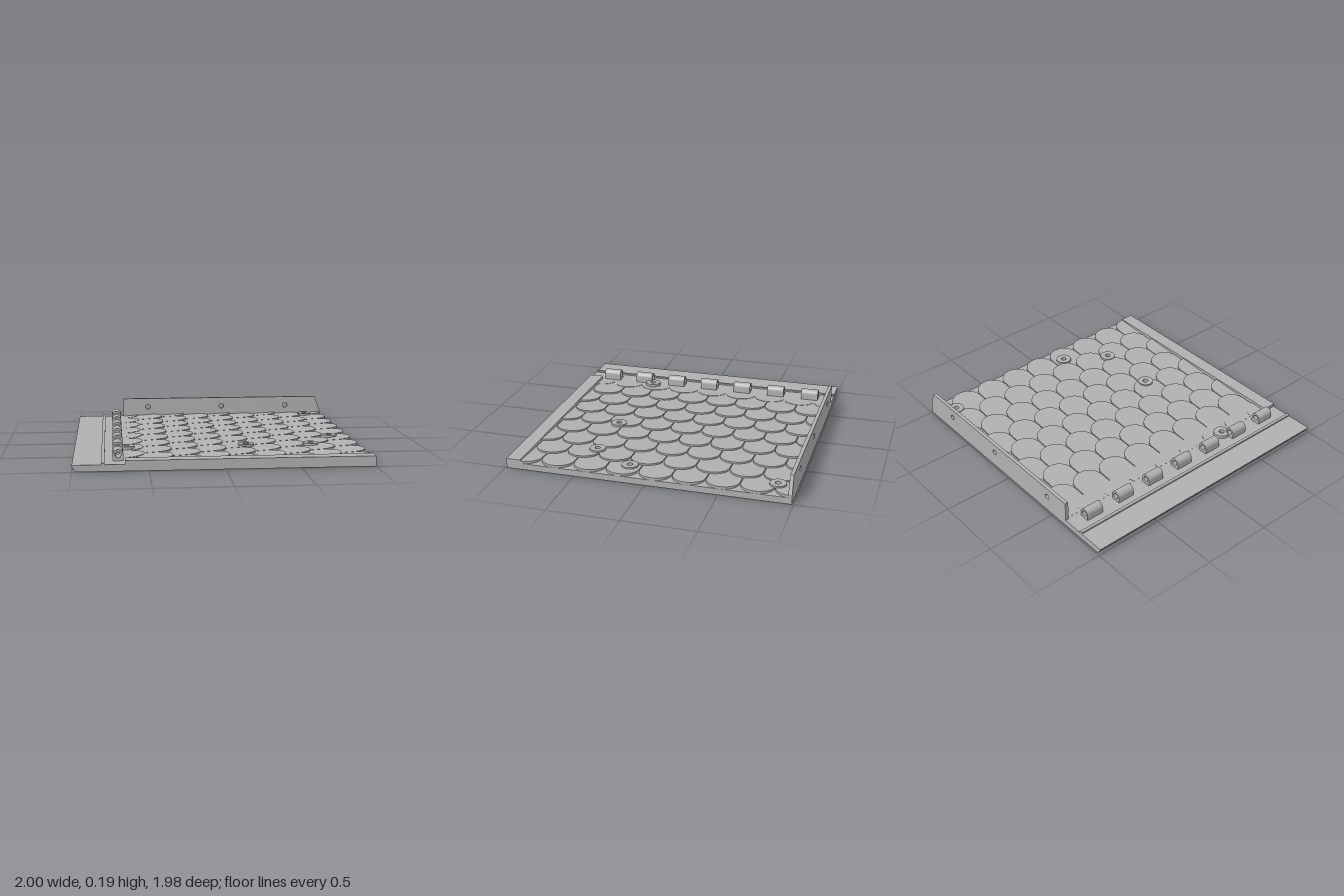
import * as THREE from 'three';

const HOLE = 0.02;
// Screw holes through the plate: [x, z]
const SCREWS = [[0.85, -0.87], [0.85, 0.15], [0.66, 0.45], [0.2, 0.45], [-0.64, 0.45]];
const BACK = -0.965, FRONT = 0.89, TOP = 0.045;

const grey = new THREE.MeshStandardMaterial({ color: 0xb0b0b0 });
grey.name = 'grey';

function circle(x, y, r) {
  return new THREE.Path().absarc(x, y, r, 0, Math.PI * 2, true);
}

function polygon(points) {
  return new THREE.Shape(points.map(([x, y]) => new THREE.Vector2(x, y)));
}

function extrude(shape, depth) {
  return new THREE.ExtrudeGeometry(shape, { depth, bevelEnabled: false, curveSegments: 16 });
}

// Extrudes an (x, -z) outline upwards
function extrudeUp(shape, height) {
  return extrude(shape, height).rotateX(-Math.PI / 2);
}

// A tongue-shaped wedge that rises towards its rounded tip
function scaleGeometry(tip, zc, length, tipHeight) {
  const half = 0.113, round = 0.105, start = tip - length;
  const side = [];
  const steps = 40;
  for (let i = 0; i <= steps; i++) side.push([start + (length - round) * i / steps, half]);
  for (let i = 1; i <= 10; i++) {
    const a = i / 10 * Math.PI / 2;
    side.push([tip - round + round * Math.sin(a), half * Math.cos(a)]);
  }
  const mirrored = side.slice(0, -1).reverse().map(([x, w]) => [x, -w]);
  const outline = [...side, ...mirrored].map(([x, w]) => {
    let z = zc + w;
    // Notch the edge where a screw hole crosses it
    for (const [hx, hz] of SCREWS) {
      const d = HOLE * HOLE - (x - hx) ** 2;
      if (d > 0 && Math.abs(z - hz) < Math.sqrt(d)) z = hz - Math.sign(w) * Math.sqrt(d);
    }
    return [x, -THREE.MathUtils.clamp(z, BACK, FRONT)];
  });
  const shape = polygon(outline);
  // Holes that lie wholly inside the scale
  for (const [hx, hz] of SCREWS) {
    const inSide = Math.abs(hz - zc) + HOLE < half && hx - HOLE > start;
    const inTip = hx < tip - round || Math.hypot(hx - tip + round, hz - zc) + HOLE < round;
    if (inSide && inTip) shape.holes.push(circle(hx, -hz, HOLE));
  }
  const geometry = extrudeUp(shape, 1);
  const p = geometry.attributes.position;
  for (let i = 0; i < p.count; i++) {
    const t = (p.getX(i) - start) / length;
    p.setY(i, p.getY(i) > 0.5 ? THREE.MathUtils.lerp(TOP + 0.001, tipHeight, t) : TOP - 0.003);
  }
  geometry.computeVertexNormals();
  return geometry;
}

export function createModel() {
  const model = new THREE.Group();
  const add = (name, geometry, x = 0, y = 0, z = 0, parent = model) => {
    const mesh = new THREE.Mesh(geometry, grey);
    mesh.name = name;
    mesh.position.set(x, y, z);
    parent.add(mesh);
    return mesh;
  };
  const addGroup = (name) => {
    const group = new THREE.Group();
    group.name = name;
    model.add(group);
    return group;
  };

  // Base plate with its undercut left edge
  const plate = polygon([[-0.975, -0.99], [1, -0.99], [1, 0.99], [-0.975, 0.99]]);
  for (const [x, z] of SCREWS) plate.holes.push(circle(x, -z, HOLE));
  add('basePlate', extrudeUp(plate, TOP));
  const lip = polygon([[-0.975, 0], [-0.975, TOP], [-1, TOP], [-1, 0.038]]);
  add('plateLip', extrude(lip, 1.98), 0, 0, -0.99);

  // Thin ridge beside the hinge
  add('ridge', new THREE.BoxGeometry(0.022, 0.02, 1.98), -0.8, 0.046, 0);

  // Front rail
  add('frontRail', new THREE.BoxGeometry(1.655, 0.07, 0.1), 0.1725, 0.035, 0.94);

  // Upright back flange with a sloped end and three holes
  const flange = polygon([[-0.64, 0], [1, 0], [1, 0.07], [0.955, 0.19], [-0.64, 0.19]]);
  for (const x of [-0.44, 0.17, 0.705]) flange.holes.push(circle(x, 0.12, HOLE));
  add('backFlange', extrude(flange, 0.025), 0, 0, -0.99);

  // Hinge knuckles
  const knuckle = new THREE.Shape();
  knuckle.moveTo(-0.035, -0.043);
  knuckle.lineTo(0.035, -0.043);
  knuckle.lineTo(0.035, 0);
  knuckle.absarc(0, 0, 0.035, 0, Math.PI, false);
  knuckle.lineTo(-0.035, -0.043);
  knuckle.holes.push(circle(0, 0, 0.02));
  const knuckleGeometry = extrude(knuckle, 0.13);
  const hinge = addGroup('hinge');
  for (let i = 0; i < 7; i++) add('hingeKnuckle', knuckleGeometry, -0.7, 0.085, -0.88 + i * 0.27, hinge);

  // Overlapping scales, every other column shifted by half a pitch
  const scales = addGroup('scales');
  const pitch = 0.2325;
  for (let col = 0; col <= 8; col++) {
    const tip = -0.52 + col * 0.19;
    const odd = col % 2 === 1;
    for (let row = 0; row < (odd ? 8 : 9); row++) {
      const z = -0.86 + (row - (odd ? 0 : 0.5)) * pitch;
      add('scale', scaleGeometry(tip, z, col ? 0.27 : 0.11, col ? 0.063 : 0.054), 0, 0, 0, scales);
    }
  }

  // Raised rings around the screw holes
  const ring = new THREE.Shape().absarc(0, 0, 0.057, 0, Math.PI * 2, false);
  ring.holes.push(circle(0, 0, HOLE));
  const ringGeometry = extrudeUp(ring, 0.026);
  const bosses = addGroup('screwBosses');
  for (const [x, z] of SCREWS) add('screwBoss', ringGeometry, x, 0.042, z, bosses);

  return model;
}
